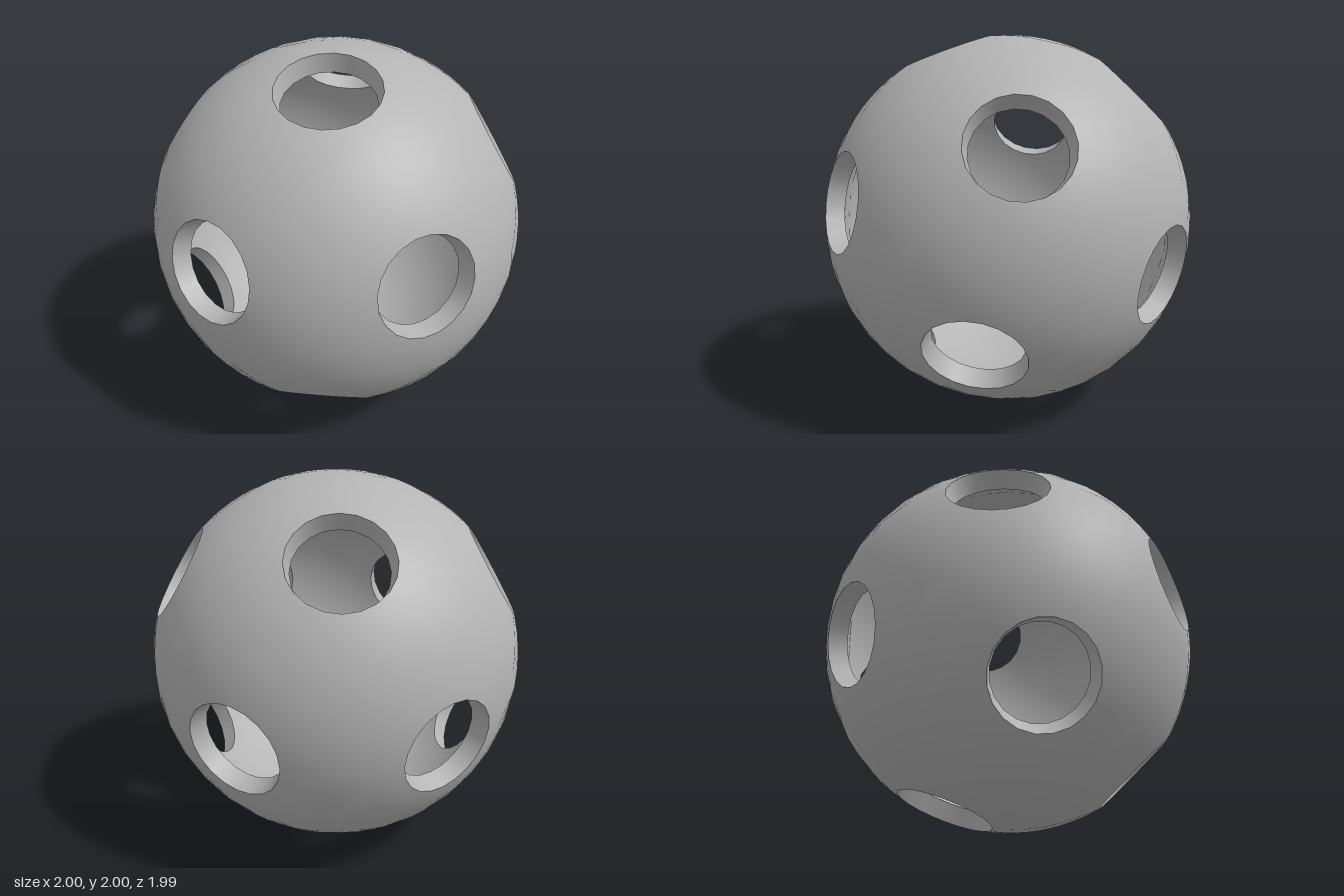
import * as THREE from 'three';
import { mergeGeometries } from 'three/addons/utils/BufferGeometryUtils.js';

const OUTER = 1, INNER = 0.9;      // shell radii
const RIM = Math.asin(0.26);       // angular radius of each hole
const SEG = 20, RINGS = 4;         // sides per hole, rings around it
const ALPHA = Math.atan(2);        // angle between neighbouring holes

// Frame of a hole: axis a, u pointing towards a neighbouring hole, v completing it
function frame(axis, neighbour) {
  const a = axis.clone().normalize();
  const u = neighbour.clone().addScaledVector(a, -neighbour.dot(a)).normalize();
  return { a, u, v: a.clone().cross(u) };
}

// Unit vector at angle theta from the hole axis and azimuth phi
function direction({ a, u, v }, theta, phi) {
  return new THREE.Vector3()
    .addScaledVector(a, Math.cos(theta))
    .addScaledVector(u, Math.sin(theta) * Math.cos(phi))
    .addScaledVector(v, Math.sin(theta) * Math.sin(phi));
}

// Closed ring grid; at(i, phi) returns [position, normal]
function ringGrid(rows, at, flip = false) {
  const positions = [], normals = [], index = [];
  for (let i = 0; i <= rows; i++) {
    for (let j = 0; j <= SEG; j++) {
      const [p, n] = at(i, (j / SEG) * Math.PI * 2);
      positions.push(...p.toArray());
      normals.push(...n.toArray());
      if (i === rows || j === SEG) continue;
      const k = i * (SEG + 1) + j, l = k + SEG + 1;
      if (flip) index.push(k, l + 1, l, k, k + 1, l + 1);
      else index.push(k, l, l + 1, k, l + 1, k + 1);
    }
  }
  const g = new THREE.BufferGeometry();
  g.setAttribute('position', new THREE.Float32BufferAttribute(positions, 3));
  g.setAttribute('normal', new THREE.Float32BufferAttribute(normals, 3));
  g.setIndex(index);
  return g;
}

// Spherical pentagon with a round opening in the middle
function patch(f, radius, inward) {
  return ringGrid(RINGS, (i, phi) => {
    const sector = (Math.PI * 2) / 5;
    const off = phi - Math.round(phi / sector) * sector;
    const edge = Math.atan(Math.tan(ALPHA / 2) / Math.cos(off));
    const d = direction(f, THREE.MathUtils.lerp(RIM, edge, i / RINGS), phi);
    return [d.clone().multiplyScalar(radius), inward ? d.clone().negate() : d];
  }, inward);
}

// Tapered wall of one hole, joining inner and outer surfaces
function wall(f) {
  return ringGrid(1, (i, phi) => [
    direction(f, RIM, phi).multiplyScalar(i ? OUTER : INNER),
    direction(f, RIM - Math.PI / 2, phi),
  ]);
}

export function createModel() {
  const group = new THREE.Group();
  group.name = 'perforatedBall';
  const grey = new THREE.MeshStandardMaterial({ color: 0xb4b4b4 });
  grey.name = 'grey';

  // Twelve hole axes: a tilted pole, five neighbours around it, and their opposites
  const pole = frame(new THREE.Vector3(0.188, 0.942, 0.279), new THREE.Vector3(0.03, 0.17, 0.955));
  const axes = [pole.a];
  for (let k = 0; k < 5; k++) axes.push(direction(pole, ALPHA, (k * Math.PI * 2) / 5));
  for (const a of axes.slice()) axes.push(a.clone().negate());

  const frames = axes.map((a) =>
    frame(a, axes.find((b) => Math.abs(a.dot(b) - Math.cos(ALPHA)) < 0.01)));

  const add = (name, make) => {
    const mesh = new THREE.Mesh(mergeGeometries(frames.map(make)), grey);
    mesh.name = name;
    mesh.position.y = 1;
    group.add(mesh);
  };
  add('outerShell', (f) => patch(f, OUTER, false));
  add('innerShell', (f) => patch(f, INNER, true));
  add('holeWalls', wall);
  return group;
}
